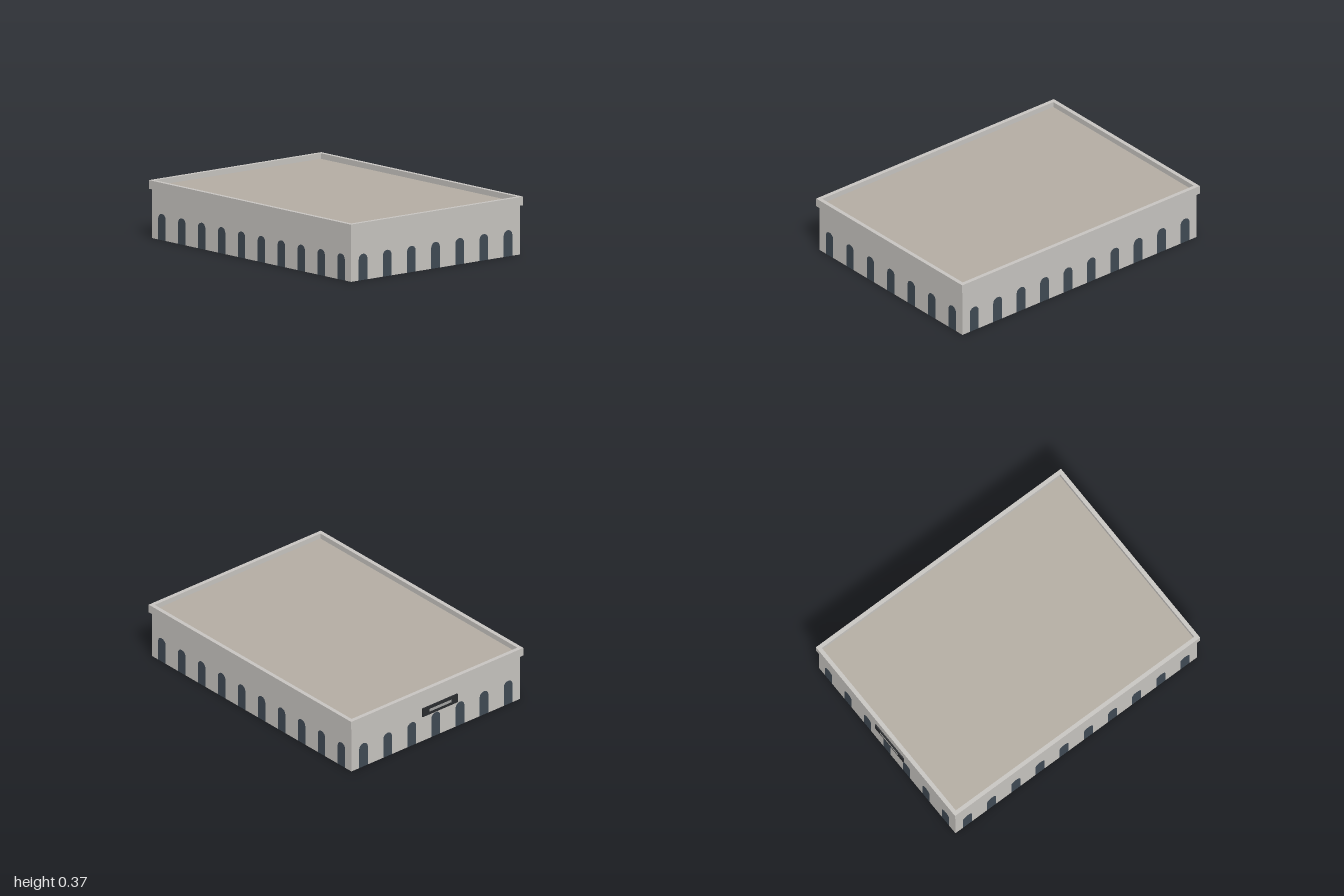
import * as THREE from 'three';

const mat = (name, color, side = THREE.FrontSide) => {
  const m = new THREE.MeshStandardMaterial({ color, side });
  m.name = name;
  return m;
};

const WIDTH = 1.918, DEPTH = 1.398;      // wall footprint
const ROOF_Y = 0.335, LEDGE_Y = 0.315, TOP_Y = 0.37;
const WIN_W = 0.072, SPRING_Y = 0.135, WIN_TOP = 0.168;

// Arched window outline, from bottom left over the arch to bottom right
function archPoints(cx) {
  const pts = [new THREE.Vector2(cx - WIN_W / 2, 0)];
  for (let i = 0; i <= 8; i++) {
    const a = Math.PI * (1 - i / 8);
    pts.push(new THREE.Vector2(
      cx + Math.cos(a) * WIN_W / 2,
      SPRING_Y + Math.sin(a) * (WIN_TOP - SPRING_Y)));
  }
  pts.push(new THREE.Vector2(cx + WIN_W / 2, 0));
  return pts;
}

function rectangle(w, d) {
  return [[-w, -d], [w, -d], [w, d], [-w, d]].map(([x, y]) => new THREE.Vector2(x / 2, y / 2));
}

export function createModel() {
  const stone = mat('pale stone', 0xc9c6c2);
  const wallStone = mat('pale stone wall', 0xc9c6c2, THREE.DoubleSide);
  const roofing = mat('roofing', 0xb5aea4, THREE.DoubleSide);
  const glass = mat('dark window glass', 0x404b55, THREE.DoubleSide);
  const signDark = mat('dark sign board', 0x2b2d30);
  const signPale = mat('pale sign panel', 0xa5a5a3);

  const model = new THREE.Group();
  const building = new THREE.Group();
  building.name = 'building';
  building.rotation.y = -THREE.MathUtils.degToRad(2.1);
  model.add(building);

  const add = (parent, name, geometry, material) => {
    const mesh = new THREE.Mesh(geometry, material);
    mesh.name = name;
    parent.add(mesh);
    return mesh;
  };

  // Four thin walls with arched openings, each filled by flush glass
  const facade = (name, length, count, distance, angle) => {
    const group = new THREE.Group();
    group.name = name;
    const outline = [new THREE.Vector2(-length / 2, 0)];
    const panes = [];
    for (let i = 0; i < count; i++) {
      const arch = archPoints(length * ((i + 0.5) / count - 0.5));
      outline.push(...arch);
      panes.push(new THREE.Shape(arch));
    }
    outline.push(
      new THREE.Vector2(length / 2, 0),
      new THREE.Vector2(length / 2, ROOF_Y),
      new THREE.Vector2(-length / 2, ROOF_Y));
    add(group, 'wall', new THREE.ShapeGeometry(new THREE.Shape(outline)), wallStone);
    add(group, 'windows', new THREE.ShapeGeometry(panes), glass);
    group.rotation.y = angle;
    group.position.set(Math.sin(angle) * distance, 0, Math.cos(angle) * distance);
    building.add(group);
    return group;
  };
  facade('frontFacade', WIDTH, 10, DEPTH / 2, 0);
  facade('backFacade', WIDTH, 10, DEPTH / 2, Math.PI);
  facade('leftFacade', DEPTH, 7, WIDTH / 2, Math.PI / 2);
  const signWall = facade('rightFacade', DEPTH, 7, WIDTH / 2, -Math.PI / 2);

  // Sign board with a plain pale panel
  add(signWall, 'signBoard', new THREE.BoxGeometry(0.29, 0.06, 0.008), signDark)
    .position.set(0.03, 0.207, 0.005);
  add(signWall, 'signPanel', new THREE.BoxGeometry(0.18, 0.018, 0.002), signPale)
    .position.set(0.03, 0.207, 0.01);

  // Flat roof sunk behind the parapet
  const roof = add(building, 'roof', new THREE.PlaneGeometry(WIDTH, DEPTH), roofing);
  roof.rotation.x = -Math.PI / 2;
  roof.position.y = ROOF_Y;

  // Parapet ring, slightly overhanging the walls
  const ring = new THREE.Shape(rectangle(WIDTH + 0.028, DEPTH + 0.028));
  ring.holes.push(new THREE.Path(rectangle(WIDTH - 0.026, DEPTH - 0.026)));
  const parapet = add(building, 'parapet',
    new THREE.ExtrudeGeometry(ring, { depth: TOP_Y - LEDGE_Y, bevelEnabled: false }), stone);
  parapet.rotation.x = -Math.PI / 2;
  parapet.position.y = LEDGE_Y;

  return model;
}
